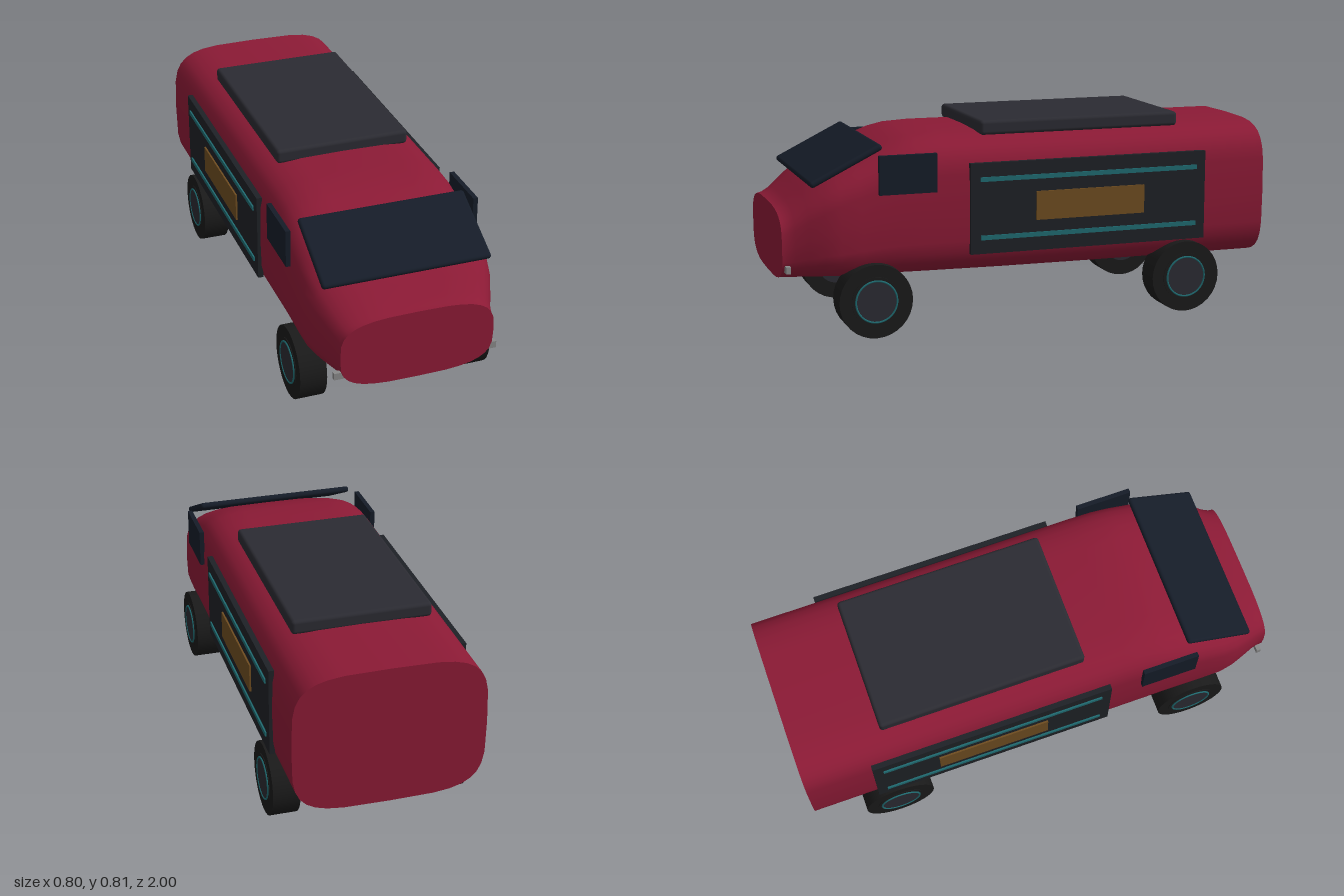
import * as THREE from 'three';
import { RoundedBoxGeometry } from 'three/addons/geometries/RoundedBoxGeometry.js';

const mat = (color) => new THREE.MeshStandardMaterial({ color });
const paint = mat(0x8b1a35), glass = mat(0x151c28), roofGrey = mat(0x2b2b32), panelGrey = mat(0x1e2126);
const rubber = mat(0x1a1a1a), teal = mat(0x1f6a70), amber = mat(0x6e4c20), lamp = mat(0x888888);

function add(parent, name, geometry, material, x = 0, y = 0, z = 0) {
  const mesh = new THREE.Mesh(geometry, material);
  mesh.name = name;
  mesh.position.set(x, y, z);
  parent.add(mesh);
  return mesh;
}

// Body cross-sections: z, half width, bottom, top, squareness
const STATIONS = [
  [-1, 0.375, 0.197, 0.763, 4.3], [-0.3, 0.375, 0.199, 0.765, 4.3], [0.1, 0.375, 0.202, 0.768, 4.3],
  [0.35, 0.375, 0.206, 0.769, 4.3], [0.46, 0.375, 0.208, 0.763, 4.3], [0.53, 0.375, 0.209, 0.748, 4.2],
  [0.6, 0.375, 0.21, 0.722, 4.1], [0.7, 0.375, 0.211, 0.68, 4], [0.78, 0.373, 0.212, 0.645, 3.9],
  [0.84, 0.36, 0.213, 0.61, 3.7], [0.9, 0.336, 0.214, 0.563, 3.6], [0.95, 0.314, 0.214, 0.521, 3.5],
  [0.98, 0.306, 0.215, 0.505, 3.4], [1, 0.305, 0.215, 0.5, 3.4],
];
const SIDES = 32;

// Rounded-rectangle (superellipse) outline of one station
function outline([, w, bottom, top, n]) {
  const curve = (v) => Math.sign(v) * Math.abs(v) ** (2 / n);
  return Array.from({ length: SIDES }, (_, k) => {
    const t = (k / SIDES) * Math.PI * 2;
    return new THREE.Vector2(w * curve(Math.cos(t)), (bottom + top) / 2 + ((top - bottom) / 2) * curve(Math.sin(t)));
  });
}

function bodyShell() {
  const positions = [], index = [];
  STATIONS.forEach((station, i) => {
    for (const p of outline(station)) positions.push(p.x, p.y, station[0]);
    if (i === 0) return;
    for (let k = 0; k < SIDES; k++) {
      const next = (k + 1) % SIDES, a = (i - 1) * SIDES, b = i * SIDES;
      index.push(a + k, a + next, b + k, a + next, b + next, b + k);
    }
  });
  const geometry = new THREE.BufferGeometry();
  geometry.setAttribute('position', new THREE.Float32BufferAttribute(positions, 3));
  geometry.setIndex(index);
  geometry.computeVertexNormals();
  return geometry;
}

// Wheel built with its axle along x; side is +1 or -1
function makeWheel(side) {
  const wheel = new THREE.Group();
  const disc = (r, width) => new THREE.CylinderGeometry(r, r, width, 32).rotateZ(Math.PI / 2);
  add(wheel, 'tyre', disc(0.146, 0.108), rubber);
  add(wheel, 'rim', disc(0.098, 0.113), rubber);
  add(wheel, 'hub', disc(0.08, 0.117), roofGrey);
  add(wheel, 'hubRing', new THREE.TorusGeometry(0.082, 0.004, 8, 40).rotateY(Math.PI / 2), teal, side * 0.058);
  return wheel;
}

export function createModel() {
  const van = new THREE.Group();
  van.name = 'van';

  // Body shell with flat nose and tail
  const body = new THREE.Group();
  body.name = 'body';
  van.add(body);
  add(body, 'shell', bodyShell(), paint);
  const first = STATIONS[0], last = STATIONS[STATIONS.length - 1];
  add(body, 'nose', new THREE.ShapeGeometry(new THREE.Shape(outline(last))), paint, 0, 0, 1);
  add(body, 'tail', new THREE.ShapeGeometry(new THREE.Shape(outline(first))), paint, 0, 0, -1).rotation.y = Math.PI;

  // Windscreen slab and roof pod
  const windscreen = add(van, 'windscreen', new RoundedBoxGeometry(0.67, 0.025, 0.315, 3, 0.012), glass, 0, 0.671, 0.75);
  windscreen.rotation.x = 0.46;
  add(van, 'roofPod', new RoundedBoxGeometry(0.55, 0.058, 0.845, 3, 0.014), roofGrey, 0, 0.783, -0.23);

  // Parts mirrored on both flanks
  for (const side of [1, -1]) {
    const prefix = side > 0 ? 'left' : 'right';
    const slab = (name, material, inner, outer, y0, y1, z0, z1) =>
      add(van, prefix + name, new THREE.BoxGeometry(outer - inner, y1 - y0, z1 - z0), material,
        side * (inner + outer) / 2, (y0 + y1) / 2, (z0 + z1) / 2);

    slab('Window', glass, 0.37, 0.389, 0.56, 0.712, 0.405, 0.635);
    slab('SidePanel', panelGrey, 0.365, 0.387, 0.302, 0.663, -0.73, 0.27);
    slab('UpperStripe', teal, 0.38, 0.393, 0.59, 0.608, -0.69, 0.23);
    slab('LowerStripe', teal, 0.38, 0.393, 0.358, 0.376, -0.69, 0.23);
    slab('AmberPanel', amber, 0.38, 0.394, 0.425, 0.54, -0.46, 0);
    slab('Headlight', lamp, 0.265, 0.325, 0.264, 0.292, 0.972, 0.99);

    for (const [name, z] of [['FrontWheel', 0.655], ['RearWheel', -0.65]]) {
      const wheel = makeWheel(side);
      wheel.name = prefix + name;
      wheel.position.set(side * 0.338, 0.146, z);
      van.add(wheel);
    }
  }
  return van;
}
